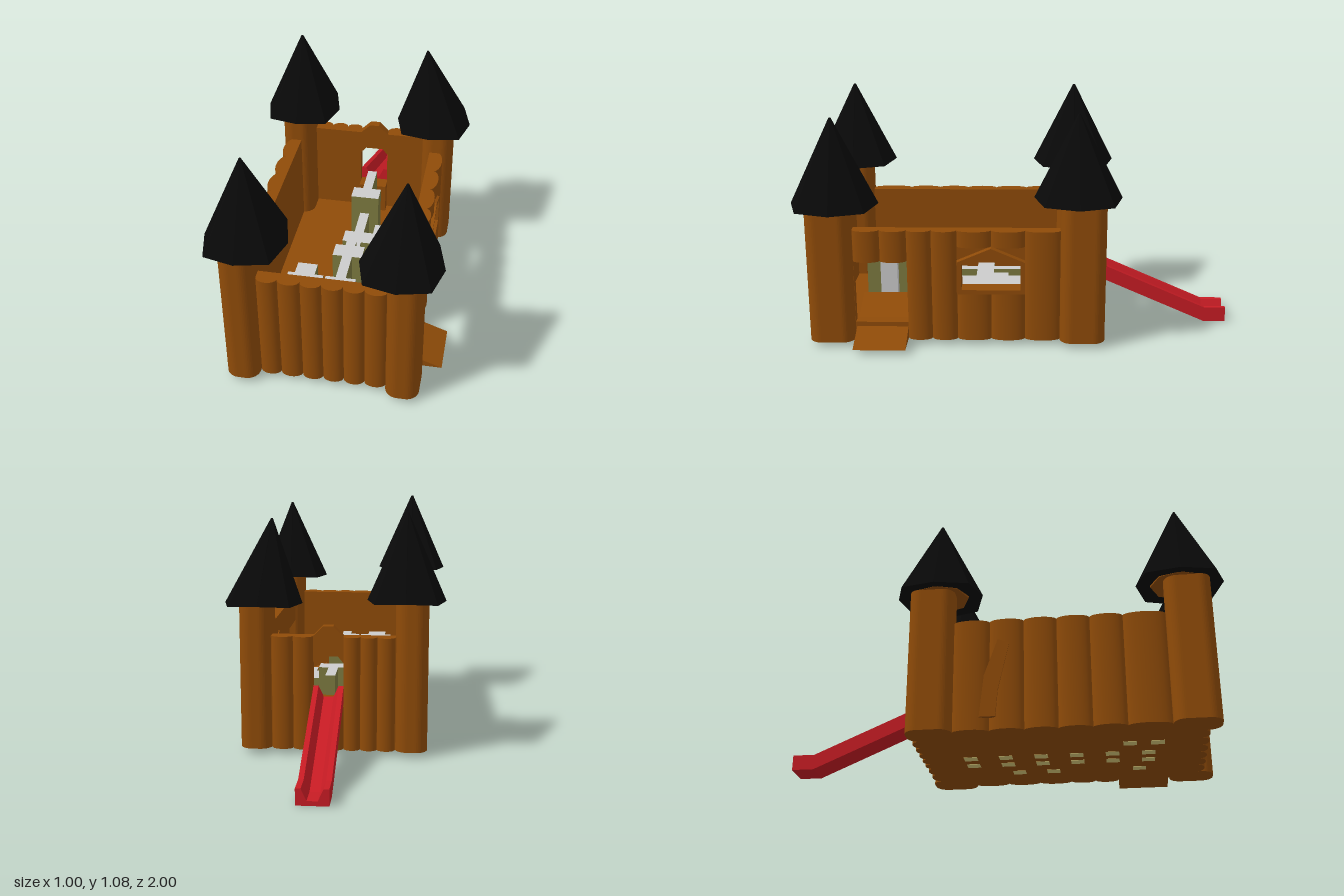
import * as THREE from 'three';

const mat = (color, opts = {}) => new THREE.MeshStandardMaterial({ color, ...opts });
const wood = mat(0x8f4b08);
const roofMat = mat(0x090909, { flatShading: true });
const red = mat(0xc81c24, { flatShading: true });
const olive = mat(0x7d7a40);
const padMat = mat(0xd8c878);
const grey = mat(0xcccccc);

const BASE = 0.025, TOP = 0.54, FLOOR = 0.1;

export function createModel() {
  const root = new THREE.Group();
  const add = (name, geo, material = wood, parent = root) => {
    const m = new THREE.Mesh(geo, material);
    m.name = name;
    parent.add(m);
    return m;
  };
  // Box given by its limits on each axis
  const box = (name, x0, x1, y0, y1, z0, z1, material) =>
    add(name, new THREE.BoxGeometry(x1 - x0, y1 - y0, z1 - z0), material)
      .position.set((x0 + x1) / 2, (y0 + y1) / 2, (z0 + z1) / 2);
  const poly = (pts) => new THREE.Shape(pts.map(([x, y]) => new THREE.Vector2(x, y)));
  const extrude = (shape, depth, steps = 1) =>
    new THREE.ExtrudeGeometry(shape, { depth, steps, bevelEnabled: false, curveSegments: 6 });
  const slab = (outline, holes, depth) => {
    const s = poly(outline);
    s.holes = holes.map(poly);
    return extrude(s, depth);
  };
  const rect = (a, b, y0, y1) => [[a, y0], [b, y0], [b, y1], [a, y1]];

  // Half-round log bulging away from the wall: side is right, left, front or back
  const turn = { right: 0, left: Math.PI, front: -Math.PI / 2, back: Math.PI / 2 };
  const log = (side, plane, u0, u1, y0, y1) => {
    const g = new THREE.CylinderGeometry(1, 1, y1 - y0, 12, 1, false, 0, Math.PI);
    g.scale(0.03, 1, (u1 - u0) / 2);
    const m = add(side + 'Log', g);
    const u = (u0 + u1) / 2, y = (y0 + y1) / 2;
    m.rotation.y = turn[side];
    if (side === 'right' || side === 'left') m.position.set(plane, y, u);
    else m.position.set(u, y, plane);
  };
  const logs = (side, plane, edges, y0 = BASE, y1 = TOP) => {
    for (let i = 0; i + 1 < edges.length; i++) log(side, plane, edges[i], edges[i + 1], y0, y1);
  };

  // Front wall
  add('frontWall', slab(rect(-0.34, 0.33, BASE, TOP), [], 0.04)).position.z = 0.82;
  logs('front', 0.86, [-0.28, -0.19, -0.095, -0.005, 0.085, 0.175, 0.27]);

  // Back wall with the slide doorway and a raised crest above it
  const crest = [[-0.34, BASE], [0.33, BASE], [0.33, TOP], [0.085, TOP],
    [0.04, 0.585], [-0.005, 0.585], [-0.05, TOP], [-0.34, TOP]];
  const slideDoor = [[-0.05, 0.25], [0.085, 0.25], [0.085, 0.42], [0.06, 0.45], [-0.025, 0.45], [-0.05, 0.42]];
  add('backWall', slab(crest, [slideDoor], 0.04)).position.z = -0.365;
  logs('back', -0.365, [-0.28, -0.2, -0.125, -0.05]);
  logs('back', -0.365, [0.085, 0.175, 0.27]);
  logs('back', -0.365, [-0.05, 0.0175, 0.085], BASE, 0.22);
  box('slideLanding', -0.05, 0.085, FLOOR, 0.25, -0.33, -0.28);

  // Side walls, outline measured along z; the right one has a door and a window
  const sideWall = (name, x, holes) => {
    const m = add(name, slab(rect(-0.36, 0.84, BASE, TOP), holes, 0.04));
    m.rotation.y = -Math.PI / 2;
    m.position.x = x;
  };
  const pentagon = (d) => [[-0.04 + d, 0.25 + d], [0.265 - d, 0.25 + d],
    [0.265 - d, 0.4 - d * 0.5], [0.112, 0.465 - d], [-0.04 + d, 0.4 - d * 0.5]];
  sideWall('rightWall', 0.35, [rect(0.49, 0.73, FLOOR, 0.395), pentagon(0.02)]);
  sideWall('leftWall', -0.33, []);
  logs('right', 0.35, [-0.2, -0.04]);
  logs('right', 0.35, [-0.04, 0.112, 0.265], BASE, 0.25);
  logs('right', 0.35, [-0.04, 0.112, 0.265], 0.465, TOP);
  logs('right', 0.35, [0.265, 0.38, 0.49]);
  logs('right', 0.35, [0.49, 0.61, 0.73], 0.395, TOP);
  logs('left', -0.37, [-0.2, -0.04, 0.11, 0.255, 0.4, 0.545, 0.73]);

  // Window frame
  const frame = add('windowFrame', slab(pentagon(0), [pentagon(0.02)], 0.08));
  frame.rotation.y = -Math.PI / 2;
  frame.position.x = 0.385;

  // Crooked plank leaning on the left wall
  const plank = add('leaningPlank', slab([[-0.08, 0.08], [-0.01, 0.08], [0.0, 0.2], [0.05, 0.42],
    [0.0, 0.44], [-0.06, 0.27]], [], 0.02));
  plank.rotation.y = -Math.PI / 2;
  plank.position.x = -0.385;

  // Base with the low inner floor
  box('floor', -0.35, 0.33, BASE, FLOOR, -0.35, 0.84);

  // Entry ramp running up through the door
  add('entryRamp', extrude(poly([[0.13, BASE], [0.495, BASE], [0.13, 0.16]]), 0.235)).position.z = 0.49;

  // Stepped partitions standing on the floor, pale on top
  const sided = [olive, olive, grey, olive, olive, olive];
  const block = (x0, x1, z0, z1, top, material = sided) =>
    box('partition', x0, x1, FLOOR - 0.01, top, z0, z1, material);
  const HIGH = 0.34, LOW = 0.245;
  block(-0.005, 0.04, -0.28, -0.045, HIGH);
  block(-0.005, 0.04, -0.045, 0.3, LOW);
  block(-0.005, 0.04, 0.3, 0.72, HIGH);
  for (const [z, top, material] of [[-0.085, HIGH], [0.15, LOW], [0.38, HIGH], [0.61, HIGH, grey]]) {
    block(-0.05, -0.005, z - 0.04, z + 0.04, top, material);
    block(0.04, 0.085, z - 0.04, z + 0.04, top, material);
  }
  block(0.13, 0.27, -0.04, 0.26, LOW);
  block(0.085, 0.13, 0.04, 0.19, LOW);
  block(0.27, 0.305, 0.04, 0.19, LOW);
  block(-0.19, -0.1, 0.5, 0.72, HIGH);
  block(-0.22, -0.19, 0.57, 0.65, HIGH);
  block(-0.1, -0.06, 0.57, 0.65, HIGH);

  // Small pads under the base
  const pad = (x, z) => box('basePad', x, x + 0.05, 0.0235, 0.03, z, z + 0.06, padMat);
  for (let i = 0; i < 6; i++) {
    for (const x of [-0.055, 0.04]) pad(x, -0.2 + i * 0.16);
  }
  for (const z of [0.0, 0.16, 0.56]) pad(0.16, z);
  for (const z of [0.52, 0.64]) pad(-0.18, z);

  // Corner towers: rounded shafts with eight-sided pointed roofs
  const w = 0.0725, d = 0.102, r = 0.055;
  const plan = new THREE.Shape();
  plan.moveTo(-w + r, -d).lineTo(w - r, -d);
  plan.absarc(w - r, -d + r, r, -Math.PI / 2, 0);
  plan.absarc(w - r, d - r, r, 0, Math.PI / 2);
  plan.absarc(-w + r, d - r, r, Math.PI / 2, Math.PI);
  plan.absarc(-w + r, -d + r, r, Math.PI, Math.PI * 1.5);
  // shaft x, shaft z, roof x, roof z, eaves height, tip height, tip shift in x
  const towers = [
    ['frontLeft', 0.3425, 0.833, 0.317, 0.805, 0.655, 1.04, 0.013],
    ['backLeft', 0.3425, -0.3, 0.317, -0.275, 0.685, 1.05, -0.042],
    ['frontRight', -0.3525, 0.833, -0.325, 0.805, 0.705, 1.08, 0],
    ['backRight', -0.3525, -0.3, -0.325, -0.275, 0.705, 1.08, 0],
  ];
  for (const [name, x, z, rx, rz, eaves, tip, shift] of towers) {
    const tower = new THREE.Group();
    tower.name = name + 'Tower';
    root.add(tower);
    const shaft = add('towerShaft', extrude(plan, eaves + 0.03 - BASE), wood, tower);
    shaft.rotation.x = -Math.PI / 2;
    shaft.position.set(x, BASE, z);
    const h = tip - eaves;
    const g = new THREE.CylinderGeometry(0.005, 0.193, h, 8);
    g.scale(0.91, 1, 1.01);
    // Lean the tip, push the diagonal corners out and let the eaves dip unevenly
    const p = g.attributes.position;
    for (let i = 0; i < p.count; i++) {
      const px = p.getX(i), pz = p.getZ(i);
      if (p.getY(i) > 0) p.setX(i, px + shift);
      else {
        const k = Math.min(Math.abs(px), Math.abs(pz)) > 0.05 ? 1.1 : 1;
        p.setXYZ(i, px * k, p.getY(i) - 0.08 * Math.abs(px), pz * k);
      }
    }
    g.computeVertexNormals();
    add('towerRoof', g, roofMat, tower).position.set(rx, eaves + h / 2, rz);
    add('roofPlate', new THREE.CylinderGeometry(0.13, 0.13, 0.02, 8), wood, tower).position.set(rx, eaves, rz);
  }

  // Slide: channel section along z, lifted to slope and flatten at the foot
  const channel = poly([[-0.0675, 0], [0.0675, 0], [0.0675, 0.07], [0.045, 0.07],
    [0.022, 0.02], [-0.022, 0.02], [-0.045, 0.07], [-0.0675, 0.07]]);
  const sg = extrude(channel, 0.65, 13);
  sg.translate(0.0175, 0, -1);
  const sp = sg.attributes.position;
  for (let i = 0; i < sp.count; i++) sp.setY(i, sp.getY(i) + Math.max(0, sp.getZ(i) + 0.9) * 0.44);
  sg.computeVertexNormals();
  add('slide', sg, red);

  return root;
}
